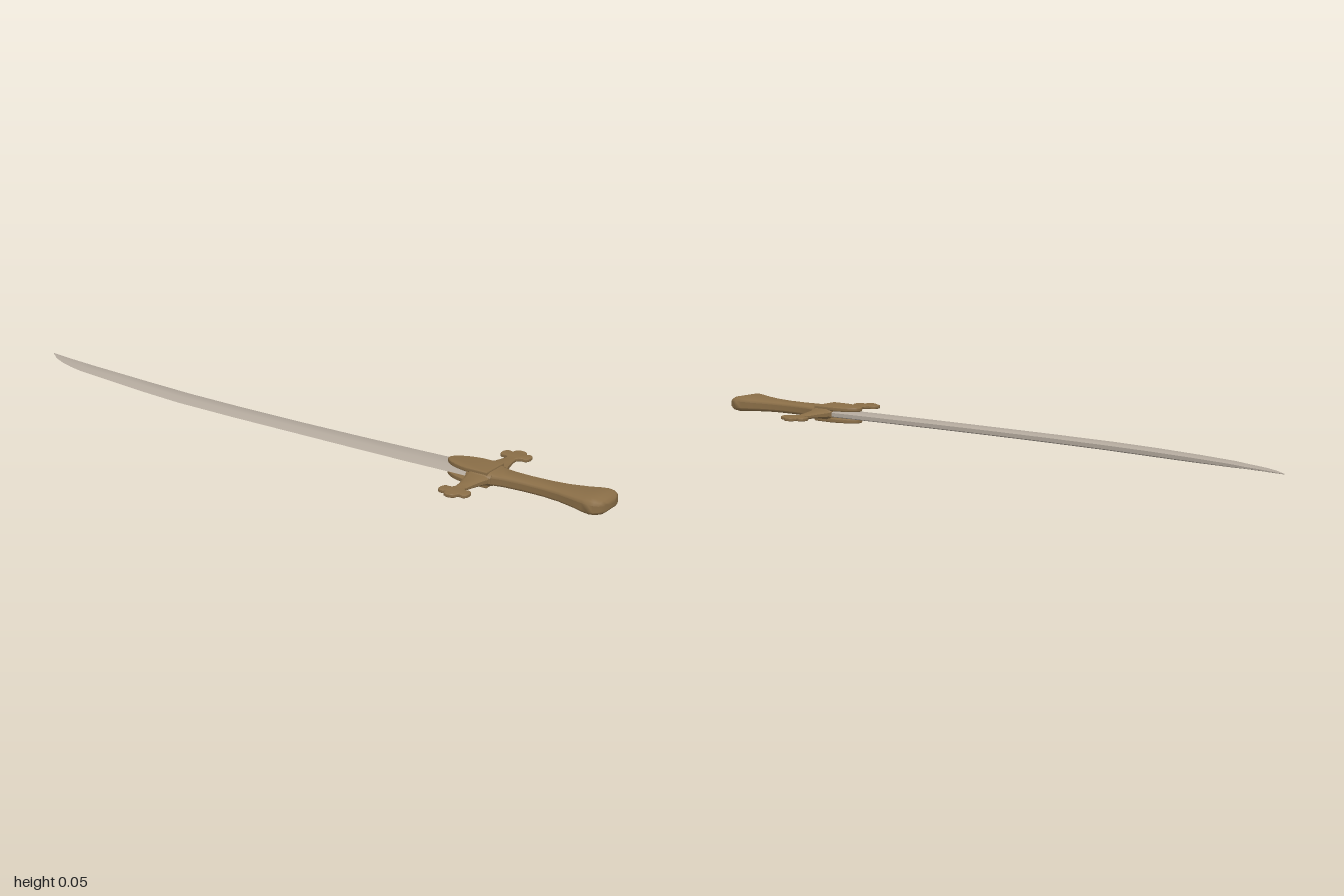
import * as THREE from 'three';
import { toCreasedNormals } from 'three/addons/utils/BufferGeometryUtils.js';

const MID = 0.0235; // height of the sword's middle plane

// Loft a counter-clockwise ring of [u, v] through sections [z, centreX, halfWidth, halfHeight], z rising
function loft(ring, sections, crease = 0.6) {
  const pos = [], idx = [], n = ring.length;
  for (const [z, cx, w, h] of sections)
    for (const [u, v] of ring) pos.push(cx + u * w, v * h, z);
  for (let i = 0; i < sections.length - 1; i++)
    for (let j = 0; j < n; j++) {
      const a = i * n + j, b = i * n + (j + 1) % n;
      idx.push(a, b, b + n, a, b + n, a + n);
    }
  const last = (sections.length - 1) * n;
  for (let j = 1; j < n - 1; j++) {
    idx.push(0, j + 1, j);
    idx.push(last, last + j, last + j + 1);
  }
  const g = new THREE.BufferGeometry();
  g.setAttribute('position', new THREE.Float32BufferAttribute(pos, 3));
  g.setIndex(idx);
  return toCreasedNormals(g, crease);
}

// Flat shape drawn as (x, -z), extruded and bevelled, centred on y = 0
function plate(shape, thickness, bevel) {
  const depth = thickness - 2 * bevel;
  const g = new THREE.ExtrudeGeometry(shape, {
    depth, bevelThickness: bevel, bevelSize: bevel, bevelOffset: -bevel,
    bevelSegments: 3, curveSegments: 10,
  });
  g.translate(0, 0, -depth / 2);
  g.rotateX(-Math.PI / 2);
  return toCreasedNormals(g, 0.6);
}

export function createModel() {
  const sword = new THREE.Group();
  sword.name = 'sword';
  const steel = new THREE.MeshStandardMaterial({ color: 0xb3a99d });
  steel.name = 'steel';
  const bronze = new THREE.MeshStandardMaterial({ color: 0x8a6e47 });
  bronze.name = 'bronze';

  const add = (name, geometry, material, x = 0, y = MID, z = 0) => {
    const m = new THREE.Mesh(geometry, material);
    m.name = name;
    m.position.set(x, y, z);
    sword.add(m);
    return m;
  };

  // Curved blade: [z, cutting edge x, spine x, half thickness]
  const bladeRing = [[-1, 0], [-0.3, -1], [0.8, -1], [1, -0.6], [1, 0.6], [0.8, 1], [-0.3, 1]];
  const bladeEdges = [
    [-1, 0.104, 0.106, 0.0008], [-0.96, 0.073, 0.099, 0.002], [-0.92, 0.053, 0.092, 0.003],
    [-0.87, 0.035, 0.085, 0.004], [-0.82, 0.022, 0.077, 0.006], [-0.7, 0.005, 0.063, 0.008],
    [-0.55, -0.016, 0.048, 0.009], [-0.4, -0.032, 0.037, 0.009], [-0.2, -0.039, 0.03, 0.009],
    [0, -0.042, 0.028, 0.009], [0.2, -0.045, 0.03, 0.009], [0.4, -0.047, 0.035, 0.009],
    [0.62, -0.045, 0.042, 0.009],
  ];
  add('blade', loft(bladeRing, bladeEdges.map(([z, l, r, h]) => [z, (l + r) / 2, (r - l) / 2, h])), steel);

  // Grip flaring into a rounded pommel
  const gripRing = [
    [1, -0.45], [1, 0.45], [0.87, 0.8], [0.65, 1], [-0.65, 1], [-0.87, 0.8],
    [-1, 0.45], [-1, -0.45], [-0.87, -0.8], [-0.65, -1], [0.65, -1], [0.87, -0.8],
  ];
  add('gripAndPommel', loft(gripRing, [
    [0.63, 0, 0.044, 0.018], [0.66, 0, 0.041, 0.017], [0.69, 0, 0.034, 0.0165],
    [0.75, 0, 0.03, 0.016], [0.81, 0, 0.032, 0.016], [0.86, 0, 0.038, 0.017],
    [0.91, 0, 0.051, 0.019], [0.94, 0, 0.06, 0.0215], [0.96, 0, 0.063, 0.0228],
    [0.975, 0, 0.061, 0.0215], [0.988, 0, 0.052, 0.018], [0.996, 0, 0.036, 0.012],
    [1, 0, 0.015, 0.005],
  ], 0.9), bronze);

  // Solid middle of the crossguard
  add('guardCentre', loft(gripRing, [
    [0.585, 0, 0.045, 0.015], [0.6, 0, 0.05, 0.0195], [0.645, 0, 0.05, 0.0195], [0.66, 0, 0.044, 0.017],
  ]), bronze);

  // Pointed langets above and below the blade
  const langet = new THREE.Shape();
  langet.moveTo(-0.044, -0.65);
  langet.lineTo(0.044, -0.65);
  langet.lineTo(0.044, -0.585);
  langet.quadraticCurveTo(0.036, -0.53, 0.01, -0.508);
  langet.quadraticCurveTo(0, -0.502, -0.01, -0.508);
  langet.quadraticCurveTo(-0.036, -0.53, -0.044, -0.585);
  langet.closePath();
  const langetGeometry = plate(langet, 0.013, 0.004);
  add('upperLanget', langetGeometry, bronze, 0, 0.0405);
  add('lowerLanget', langetGeometry, bronze, 0, 0.0065);

  // Tapering arms with three-lobed ends
  const armGeometry = loft(gripRing, [
    [0.02, 0, 0.036, 0.014], [0.05, 0, 0.034, 0.012], [0.07, 0, 0.027, 0.01],
    [0.1, 0, 0.02, 0.0075], [0.13, 0, 0.015, 0.0055], [0.16, 0, 0.013, 0.004],
  ]);
  const lobes = new THREE.Shape();
  lobes.moveTo(0.125, -0.014);
  lobes.quadraticCurveTo(0.142, -0.016, 0.142, -0.027);
  lobes.bezierCurveTo(0.132, -0.052, 0.188, -0.052, 0.178, -0.027);
  lobes.quadraticCurveTo(0.175, -0.02, 0.181, -0.019);
  lobes.bezierCurveTo(0.2, -0.02, 0.2, 0.02, 0.181, 0.019);
  lobes.quadraticCurveTo(0.175, 0.02, 0.178, 0.027);
  lobes.bezierCurveTo(0.188, 0.052, 0.132, 0.052, 0.142, 0.027);
  lobes.quadraticCurveTo(0.142, 0.016, 0.125, 0.014);
  lobes.closePath();
  const lobeGeometry = plate(lobes, 0.01, 0.003);
  for (const [side, turn] of [['left', 0], ['right', Math.PI]]) {
    add(side + 'GuardArm', armGeometry, bronze, 0, MID, 0.622).rotation.y = Math.PI / 2 + turn;
    add(side + 'GuardFinial', lobeGeometry, bronze, 0, MID, 0.622).rotation.y = turn;
  }

  return sword;
}
